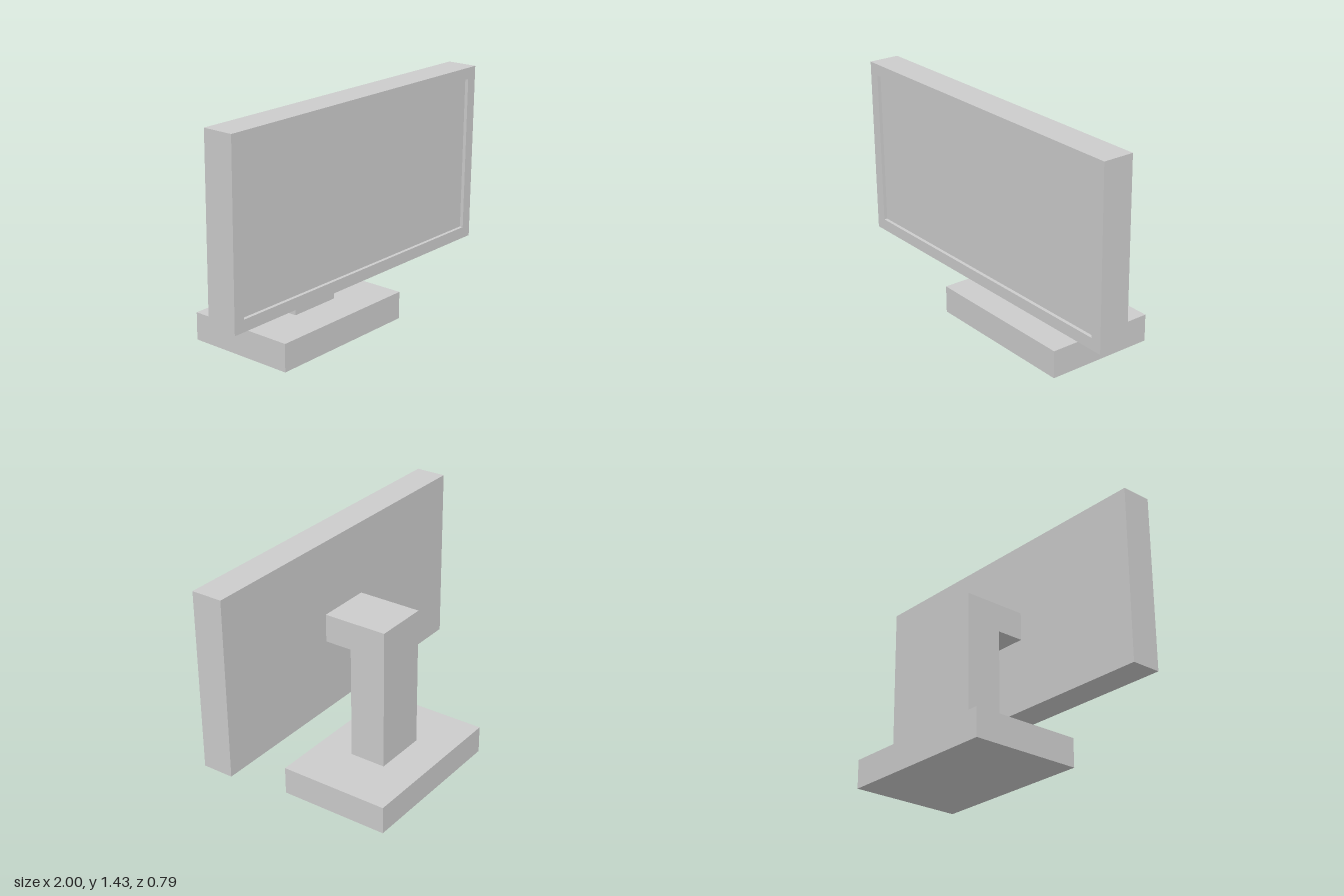
import * as THREE from 'three';

const material = new THREE.MeshStandardMaterial({ color: 0xcccccc, flatShading: true });

function add(group, name, geometry) {
  const mesh = new THREE.Mesh(geometry, material);
  mesh.name = name;
  group.add(mesh);
  return mesh;
}

// Box given by its limits on each axis
function box(x0, x1, y0, y1, z0, z1) {
  return new THREE.BoxGeometry(x1 - x0, y1 - y0, z1 - z0)
    .translate((x0 + x1) / 2, (y0 + y1) / 2, (z0 + z1) / 2);
}

function rectangle(path, x, y0, y1) {
  path.moveTo(-x, y0);
  path.lineTo(x, y0);
  path.lineTo(x, y1);
  path.lineTo(-x, y1);
  path.closePath();
  return path;
}

export function createModel() {
  const model = new THREE.Group();
  model.name = 'monitor';

  const front = 0.395, back = 0.215, recess = 0.02;

  // Base slab
  add(model, 'base', box(-0.495, 0.495, 0, 0.165, -0.395, 0.27));

  // Stand: an upright with an arm reaching forward, extruded across x
  const profile = new THREE.Shape([
    [0.17, 0.165], [0.17, 1.005], [-back, 1.005],
    [-back, 0.84], [-0.05, 0.84], [-0.05, 0.165],
  ].map(([x, y]) => new THREE.Vector2(x, y)));
  const stand = new THREE.ExtrudeGeometry(profile, { depth: 0.33, bevelEnabled: false });
  stand.translate(0, 0, -0.165).rotateY(Math.PI / 2);
  add(model, 'stand', stand);

  // Housing, whose front face is the sunken screen surface
  add(model, 'screenHousing', box(-1, 1, 0.41, 1.435, back, front - recess));

  // Bezel around the sunken screen
  const outline = rectangle(new THREE.Shape(), 1, 0.41, 1.435);
  outline.holes.push(rectangle(new THREE.Path(), 0.934, 0.477, 1.369));
  const bezel = new THREE.ExtrudeGeometry(outline, { depth: recess, bevelEnabled: false });
  add(model, 'bezel', bezel.translate(0, 0, front - recess));

  return model;
}
